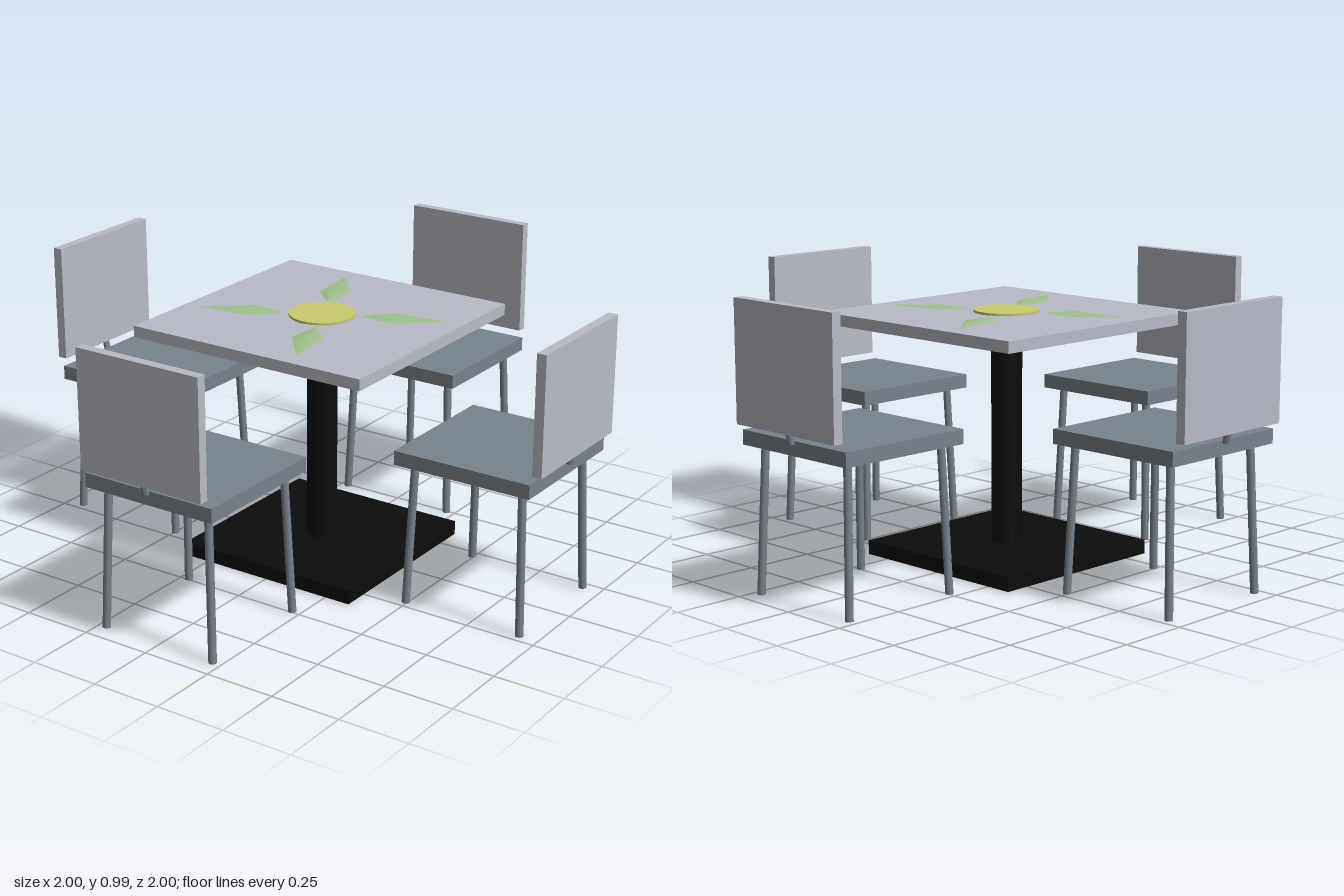
import * as THREE from 'three';

const paint = (name, color, extra = {}) => {
  const m = new THREE.MeshStandardMaterial({ color, ...extra });
  m.name = name;
  return m;
};

export function createModel() {
  const pale = paint('paleGrey', 0xb8bcc7);
  const slate = paint('slateGrey', 0x78838c);
  const black = paint('black', 0x0c0c0c);
  const yellow = paint('yellow', 0xc8cb6c);
  const green = paint('leafGreen', 0xa0c08c, { side: THREE.DoubleSide });

  const model = new THREE.Group();
  model.name = 'diningSet';

  const add = (parent, name, geometry, material, x = 0, y = 0, z = 0) => {
    const mesh = new THREE.Mesh(geometry, material);
    mesh.name = name;
    mesh.position.set(x, y, z);
    parent.add(mesh);
    return mesh;
  };

  // Round bar between two points
  const bar = (parent, name, from, to, radius, material) => {
    const a = new THREE.Vector3(...from), b = new THREE.Vector3(...to);
    const dir = b.clone().sub(a);
    const mesh = add(parent, name, new THREE.CylinderGeometry(radius, radius, dir.length(), 12), material);
    mesh.position.copy(a).add(b).multiplyScalar(0.5);
    mesh.quaternion.setFromUnitVectors(new THREE.Vector3(0, 1, 0), dir.normalize());
  };

  // Pedestal table
  const table = new THREE.Group();
  table.name = 'table';
  model.add(table);
  add(table, 'tableBase', new THREE.BoxGeometry(0.69, 0.05, 0.69), black, 0, 0.025, 0);
  add(table, 'tableColumn', new THREE.CylinderGeometry(0.054, 0.054, 0.78, 16), black, 0, 0.438, 0);
  add(table, 'tableTop', new THREE.BoxGeometry(0.915, 0.04, 0.915), pale, 0, 0.846, 0);

  // Flower inlay: a round centre and four low, ridged leaves
  add(table, 'flowerCentre', new THREE.CylinderGeometry(0.115, 0.115, 0.008, 32), yellow, 0, 0.87, 0);
  const leaf = new THREE.BufferGeometry();
  leaf.setAttribute('position', new THREE.Float32BufferAttribute([
    0.22, 0.879, -0.105, // ridge
    0.40, 0.867, -0.173, // tip
    0.205, 0.867, -0.15,
    0.13, 0.867, -0.075,
    0.135, 0.867, -0.055,
    0.25, 0.867, -0.05,
  ], 3));
  leaf.setIndex([0, 1, 2, 0, 2, 3, 0, 3, 4, 0, 4, 5, 0, 5, 1]);
  leaf.computeVertexNormals();
  for (let i = 0; i < 4; i++) add(table, 'leaf', leaf, green).rotation.y = i * Math.PI / 2;

  // Four chairs around the table, each built with its back toward +z
  for (let i = 0; i < 4; i++) {
    const chair = new THREE.Group();
    chair.name = 'chair';
    chair.rotation.y = i * Math.PI / 2;
    model.add(chair);
    const mid = 0.7125;
    add(chair, 'seat', new THREE.BoxGeometry(0.506, 0.05, 0.506), slate, 0, 0.53, mid);
    add(chair, 'backrest', new THREE.BoxGeometry(0.478, 0.413, 0.034), pale, 0, 0.786, 0.983);
    bar(chair, 'backSupport', [0, 0.545, 0.972], [0, 0.59, 0.982], 0.012, slate);
    for (const sx of [-1, 1]) for (const sz of [-1, 1]) {
      bar(chair, 'leg', [sx * 0.219, 0, mid + sz * 0.219], [sx * 0.201, 0.51, mid + sz * 0.201], 0.014, slate);
    }
  }
  return model;
}
